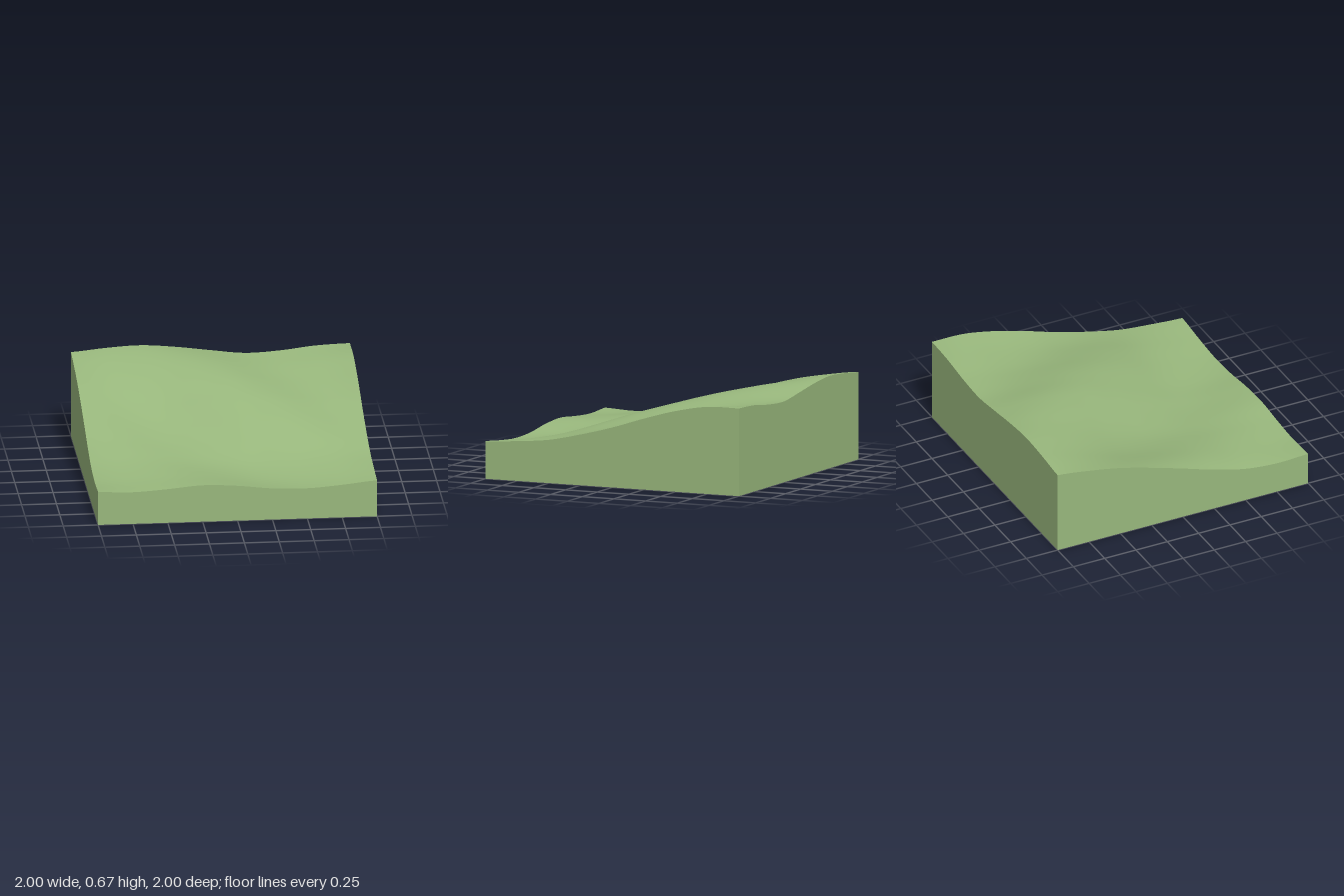
import * as THREE from 'three';

const SEG = 48;

// Edge heights at nine even steps, running from -1 to 1
const profile = (heights) => {
  const curve = new THREE.SplineCurve(heights.map((h, i) => new THREE.Vector2(i / 4 - 1, h)));
  return (u) => curve.getPoint(THREE.MathUtils.clamp((u + 1) / 2, 0, 1)).y;
};
const frontEdge = profile([0.247, 0.238, 0.253, 0.274, 0.262, 0.234, 0.227, 0.245, 0.27]);
const backEdge = profile([0.63, 0.653, 0.665, 0.645, 0.612, 0.583, 0.594, 0.622, 0.632]);
const leftEdge = profile([0.632, 0.628, 0.582, 0.512, 0.432, 0.366, 0.312, 0.287, 0.27]);
const rightEdge = profile([0.63, 0.597, 0.55, 0.482, 0.405, 0.325, 0.262, 0.238, 0.247]);

// Smooth ramp with a diagonal swell, a little fuller at the front and hollower at the back
function swell(x, z) {
  const amount = 0.046 * (1 - 0.5 * x ** 4) * (1 - 0.175 * z - 0.325 * z * z);
  const fullness = 0.024 * (1 - x * x) * (1 - z * z) * Math.sin(Math.PI * (z + 0.15));
  return 0.437 - 0.187 * Math.sin(z * Math.PI / 2) + fullness
    + amount * Math.sin(4.3 * (x - 0.8 * z) + 0.1);
}

// Swell corrected so that it meets all four edge profiles
function height(x, z) {
  const s = (x + 1) / 2, t = (z + 1) / 2;
  const front = (u) => frontEdge(u) - swell(u, 1);
  const back = (u) => backEdge(u) - swell(u, -1);
  const left = leftEdge(z) - swell(1, z);
  const right = rightEdge(z) - swell(-1, z);
  const corners = (1 - t) * ((1 - s) * back(-1) + s * back(1))
    + t * ((1 - s) * front(-1) + s * front(1));
  return swell(x, z) + (1 - t) * back(x) + t * front(x) + (1 - s) * right + s * left - corners;
}

export function createModel() {
  const group = new THREE.Group();
  group.name = 'hillsideTile';
  const grass = new THREE.MeshStandardMaterial({ color: 0x98b77c });
  grass.name = 'grass green';

  const add = (name, geometry) => {
    const mesh = new THREE.Mesh(geometry, grass);
    mesh.name = name;
    group.add(mesh);
  };

  // Rolling ground surface
  const ground = new THREE.PlaneGeometry(2, 2, SEG, SEG).rotateX(-Math.PI / 2);
  const p = ground.attributes.position;
  for (let i = 0; i < p.count; i++) p.setY(i, height(p.getX(i), p.getZ(i)));
  ground.computeVertexNormals();
  add('groundSurface', ground);

  // Four upright walls that follow the ground
  ['frontWall', 'leftWall', 'backWall', 'rightWall'].forEach((name, side) => {
    const wall = new THREE.PlaneGeometry(2, 1, SEG, 1).translate(0, 0, 1).rotateY(side * Math.PI / 2);
    const w = wall.attributes.position;
    for (let i = 0; i < w.count; i++) {
      w.setY(i, w.getY(i) > 0 ? height(w.getX(i), w.getZ(i)) : 0);
    }
    wall.computeVertexNormals();
    add(name, wall);
  });

  // Flat underside
  add('underside', new THREE.PlaneGeometry(2, 2).rotateX(Math.PI / 2));
  return group;
}
